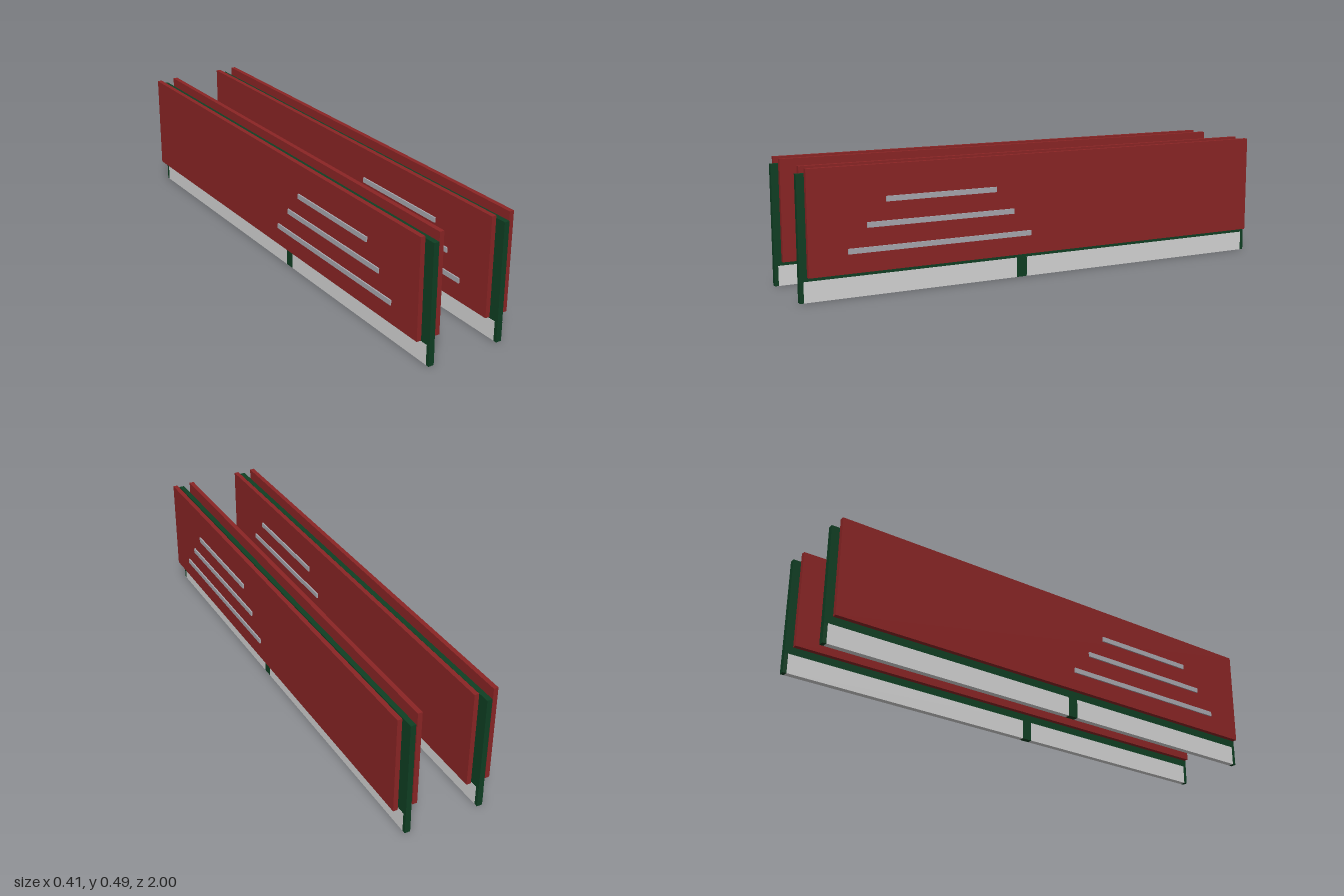
import * as THREE from 'three';

const material = (name, color) => {
  const m = new THREE.MeshStandardMaterial({ color });
  m.name = name;
  return m;
};

export function createModel() {
  const red = material('red metal', 0x8b2525);
  const green = material('board green', 0x0f3f23);
  const black = material('chip black', 0x252525);
  const silver = material('stripe silver', 0xa9a9b0);
  const pale = material('contact silver', 0xd6d6d6);

  // Box given by its minimum and maximum on each axis
  const box = (parent, name, mat, [x0, x1], [y0, y1], [z0, z1]) => {
    const mesh = new THREE.Mesh(new THREE.BoxGeometry(x1 - x0, y1 - y0, z1 - z0), mat);
    mesh.position.set((x0 + x1) / 2, (y0 + y1) / 2, (z0 + z1) / 2);
    mesh.name = name;
    parent.add(mesh);
  };
  const sided = (side, near, far) => side > 0 ? [near, far] : [-far, -near];

  function createModule() {
    const module = new THREE.Group();
    module.name = 'memoryModule';

    // Circuit board and the edge contacts either side of the notch
    box(module, 'circuitBoard', green, [-0.0105, 0.0105], [0.001, 0.468], [-1, 1]);
    box(module, 'notchKey', green, [-0.0112, 0.0112], [0, 0.076], [0.076, 0.119]);
    for (const z of [[-0.985, 0.076], [0.119, 0.985]])
      box(module, 'edgeContacts', pale, [-0.0115, 0.0115], [0, 0.078], z);
    for (const z of [[-1, -0.985], [0.985, 1]])
      box(module, 'boardEnd', green, [-0.0112, 0.0112], [0, 0.076], z);

    for (const side of [-1, 1]) {
      // Two rows of nine chips
      for (const y of [0.174, 0.34])
        for (let i = -4; i <= 4; i++) {
          const z = i * 0.1975;
          box(module, 'chip', black, sided(side, 0.0105, 0.0235),
            [y - 0.058, y + 0.058], [z - 0.079, z + 0.079]);
        }
      // Heat spreader plate with three raised stripes
      box(module, 'heatSpreader', red, sided(side, 0.03, 0.0485), [0.098, 0.49], [-0.977, 0.977]);
      [[0.181, 0.75], [0.272, 0.6], [0.362, 0.45]].forEach(([y, length]) =>
        box(module, 'spreaderStripe', silver, sided(side, 0.046, 0.054),
          [y - 0.01, y + 0.01], [0.453 - length / 2, 0.453 + length / 2]));
    }
    return module;
  }

  const model = new THREE.Group();
  model.name = 'memoryModulePair';
  for (const x of [-0.151, 0.151]) {
    const module = createModule();
    module.position.x = x;
    model.add(module);
  }
  return model;
}
